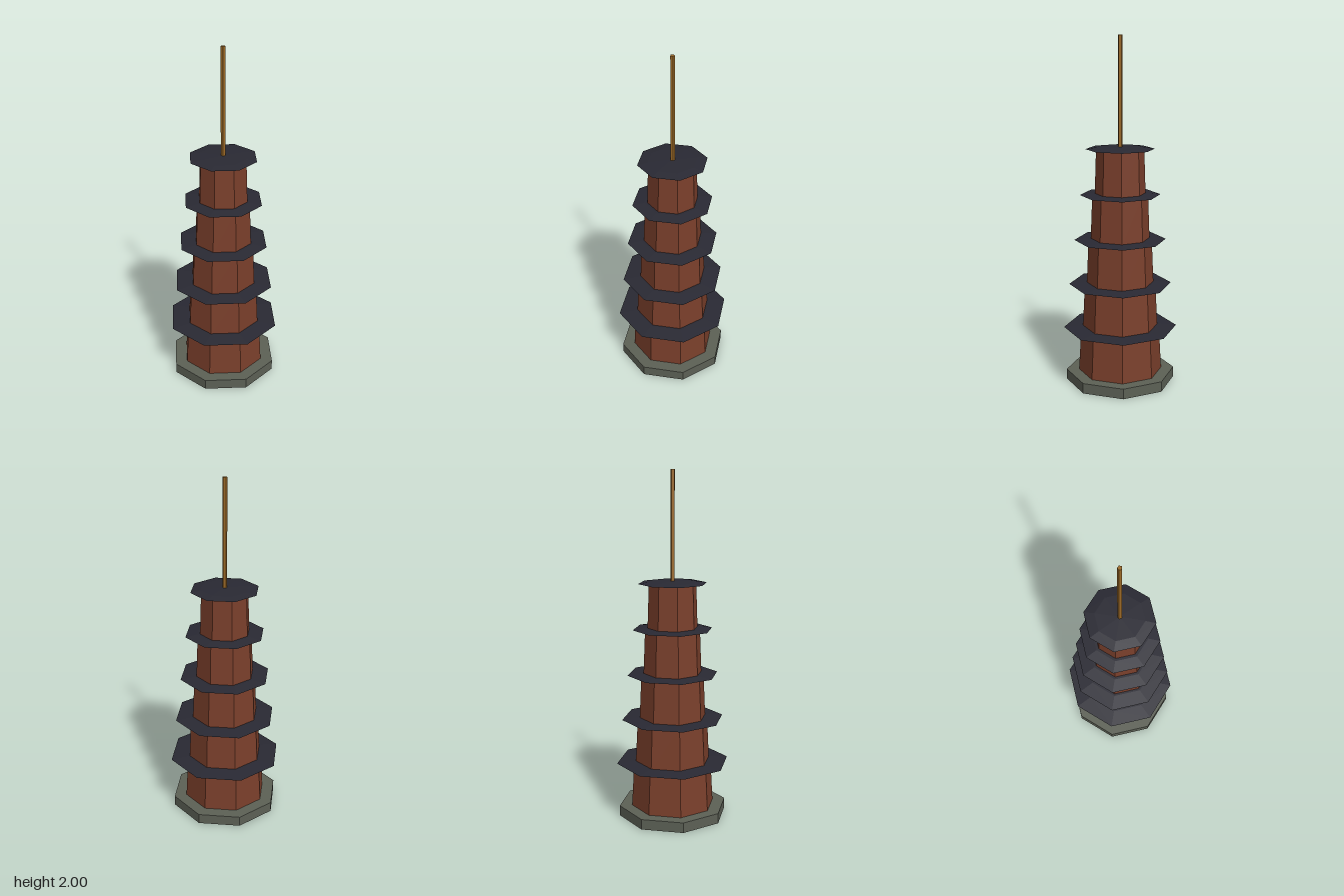
import * as THREE from 'three';

const SIDES = 8;
const TIERS = 5;
const BASE_HEIGHT = 0.06;
const TIER_HEIGHT = 0.262;

function material(name, color) {
  const m = new THREE.MeshStandardMaterial({ color, flatShading: true });
  m.name = name;
  return m;
}

export function createModel() {
  const group = new THREE.Group();
  group.name = 'pagoda';

  const stone = material('grey stone', 0x5c6055);
  const brick = material('red brick', 0x7a3f2b);
  const tile = material('dark roof tile', 0x292933);
  const bronze = material('bronze', 0x9a6826);

  const add = (name, geometry, mat, y) => {
    const mesh = new THREE.Mesh(geometry, mat);
    mesh.name = name;
    mesh.position.y = y;
    group.add(mesh);
  };

  // Octagonal plinth
  add('plinth', new THREE.CylinderGeometry(0.316, 0.316, BASE_HEIGHT, SIDES), stone, BASE_HEIGHT / 2);

  for (let i = 0; i < TIERS; i++) {
    // Tapered storey
    const radius = 0.243 - 0.0245 * i;
    const bottom = BASE_HEIGHT + TIER_HEIGHT * i;
    add(`storey${i + 1}`, new THREE.CylinderGeometry(radius * 0.94, radius, TIER_HEIGHT, SIDES),
      brick, bottom + TIER_HEIGHT / 2);

    // Thin eaves, thickest at the middle and sharp at the rim
    const r = 0.329 - 0.033 * i;
    const profile = [[0, -0.011], [0.7 * r, -0.008], [r, -0.001], [0.7 * r, 0.008], [0, 0.012]]
      .map(([x, y]) => new THREE.Vector2(x, y));
    add(`eaves${i + 1}`, new THREE.LatheGeometry(profile, SIDES), tile, bottom + TIER_HEIGHT + 0.001);
  }

  // Five-sided mast on the top roof
  const mastBottom = BASE_HEIGHT + TIER_HEIGHT * TIERS;
  const mastHeight = 2 - mastBottom;
  add('mast', new THREE.CylinderGeometry(0.0132, 0.0132, mastHeight, 5, 1, false, Math.PI / 2),
    bronze, mastBottom + mastHeight / 2);

  return group;
}
